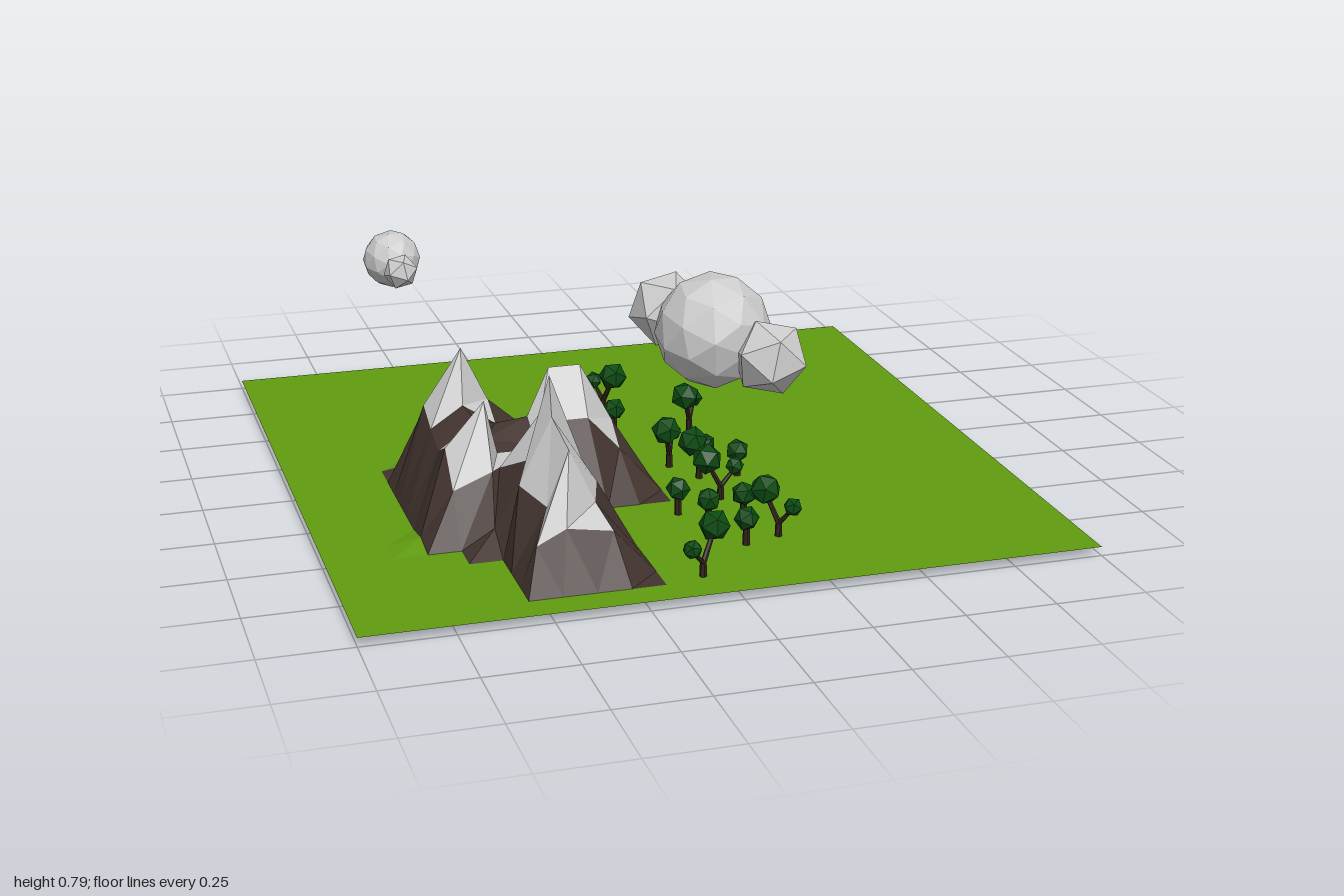
import * as THREE from 'three';

const mat = (color, side = THREE.FrontSide) =>
  new THREE.MeshStandardMaterial({ color, flatShading: true, side });
const GRASS = mat(0x619c10, THREE.DoubleSide);
const ROCK = mat(0x42342f, THREE.DoubleSide);
const WHITE = mat(0xcccccc, THREE.DoubleSide);
const BARK = mat(0x33241c);
const LEAF = mat(0x0c4a12);

const N = 22, GROUND = 0.025;

// mountain heights in hundredths: grid columns 3..11, one line per row 10..21
const HEIGHTS = [
  [3, 4, 4, 3, 3, 3, 3, 3, 3],
  [3, 20, 26, 22, 10, 12, 12, 10, 3],
  [3, 28, 44, 28, 20, 25, 25, 20, 3],
  [3, 24, 30, 24, 25, 37, 37, 20, 3],
  [3, 21, 28, 22, 20, 24, 24, 14, 3],
  [3, 25, 37, 20, 20, 10, 3, 3, 3],
  [4, 16, 20, 20, 34, 17, 3, 3, 3],
  [3, 3, 8, 26, 49, 24, 3, 3, 3],
  [3, 3, 3, 23, 41, 22, 3, 3, 3],
  [3, 3, 3, 20, 35, 20, 3, 3, 3],
  [3, 3, 3, 13, 17, 15, 3, 3, 3],
  [3, 3, 3, 3, 3, 3, 3, 3, 3],
];
// wandering line of the front ridge: [z, left x, crest x, right x] for rows 15..20
const RIDGE = [
  [0.31, -0.48, -0.38, -0.35], [0.42, -0.5, -0.39, -0.33], [0.535, -0.44, -0.39, -0.3],
  [0.635, -0.5, -0.41, -0.29], [0.73, -0.45, -0.39, -0.32], [0.815, -0.5, -0.42, -0.295],
];
// snow-covered cells: [first column, first row, last column, last row]
const SNOW = [[4, 11, 5, 12], [4, 14, 5, 15], [6, 15, 7, 19], [7, 12, 9, 13]];

function heightAt(i, j) {
  const h = HEIGHTS[j - 10]?.[i - 3];
  return h > 3 ? h / 100 : GROUND;
}

function terrainPoint(i, j) {
  let x = -1 + (2 * i) / N, z = -1 + (2 * j) / N;
  if (j >= 15 && j <= 20 && i >= 6 && i <= 8) {
    [z, x] = [RIDGE[j - 15][0], RIDGE[j - 15][i - 5]];
  } else if (j >= 12 && j <= 14 && i >= 8 && i <= 10) {
    z = [0.055, 0.13, 0.215][j - 12];
    x -= 0.015;
  } else if (j >= 14 && j <= 16 && i === 5) {
    x += 0.02;
    z -= 0.01;
  } else if (i === 6 && j === 14) {
    [x, z] = [-0.5, 0.25];
  } else if (i === 5 && j === 12) {
    x += 0.015;
    z += 0.01;
  }
  return [x, heightAt(i, j), z];
}

// ground grid sorted into grass, rock and snow faces
function terrain(group) {
  const faces = { grass: [], rock: [], snow: [] };
  for (let j = 0; j < N; j++) for (let i = 0; i < N; i++) {
    const corners = [[i, j], [i, j + 1], [i + 1, j + 1], [i + 1, j]];
    const top = Math.max(...corners.map(([a, b]) => heightAt(a, b)));
    const snowy = SNOW.some(([a, b, c, d]) => i >= a && i <= c && j >= b && j <= d);
    const kind = snowy ? 'snow' : top > 0.05 ? 'rock' : 'grass';
    const [a, b, c, d] = corners.map(([u, v]) => terrainPoint(u, v));
    faces[kind].push(...a, ...b, ...d, ...b, ...c, ...d);
  }
  const add = (name, list, material) => {
    const geo = new THREE.BufferGeometry();
    geo.setAttribute('position', new THREE.Float32BufferAttribute(list, 3));
    geo.computeVertexNormals();
    const mesh = new THREE.Mesh(geo, material);
    mesh.name = name;
    group.add(mesh);
  };
  add('grassField', faces.grass, GRASS);
  add('mountainRock', faces.rock, ROCK);
  add('mountainSnow', faces.snow, WHITE);
}

function ball(name, material, [x, y, z], r, detail, turn = 0) {
  const mesh = new THREE.Mesh(new THREE.IcosahedronGeometry(r, detail), material);
  mesh.name = name;
  mesh.position.set(x, y, z);
  mesh.rotation.set(turn * 0.7, turn, turn * 0.4);
  return mesh;
}

// tapered limb between two points
function limb(name, from, to, r0, r1) {
  const a = new THREE.Vector3(...from), b = new THREE.Vector3(...to);
  const dir = b.clone().sub(a);
  const mesh = new THREE.Mesh(new THREE.CylinderGeometry(r1, r0, dir.length(), 6), BARK);
  mesh.name = name;
  mesh.position.copy(a).add(b).multiplyScalar(0.5);
  mesh.quaternion.setFromUnitVectors(new THREE.Vector3(0, 1, 0), dir.normalize());
  return mesh;
}

function roundTree(x, z, turn) {
  const g = new THREE.Group();
  g.name = 'smallTree';
  g.add(limb('trunk', [x, 0.005, z], [x, 0.09, z], 0.011, 0.009));
  g.add(ball('crown', LEAF, [x, 0.1, z], 0.035, 0, turn));
  return g;
}

function forkedTree(x, z, x2, z2, turn) {
  const g = new THREE.Group();
  g.name = 'forkedTree';
  const tx = x * 0.5 + x2 * 0.5, tz = z * 0.5 + z2 * 0.5;
  const fork = [tx, 0.062, tz];
  g.add(limb('trunk', [tx, 0, tz], fork, 0.011, 0.009));
  g.add(limb('mainBranch', fork, [x, 0.14, z], 0.008, 0.006));
  g.add(limb('sideBranch', fork, [x2, 0.11, z2], 0.007, 0.005));
  g.add(ball('mainCrown', LEAF, [x, 0.15, z], 0.044, 0, turn));
  g.add(ball('sideCrown', LEAF, [x2, 0.117, z2], 0.027, 0, turn + 1));
  return g;
}

// each puff: x, y, z, radius, detail
function cloud(name, puffs) {
  const g = new THREE.Group();
  g.name = name;
  puffs.forEach(([x, y, z, r, detail], k) =>
    g.add(ball('puff', WHITE, [x, y, z], r, detail, 0.3 + k)));
  return g;
}

export function createModel() {
  const model = new THREE.Group();
  model.name = 'mountainLandscape';
  terrain(model);

  const trees = new THREE.Group();
  trees.name = 'trees';
  // main crown x, z then side crown x, z
  [
    [0.04, -0.36, 0, -0.435], [0.195, -0.125, 0.245, -0.195], [0.055, 0.14, 0.095, 0.07],
    [0.1, 0.245, 0.16, 0.185], [0.095, 0.39, 0.18, 0.38], [0.175, 0.65, 0.23, 0.715],
    [-0.035, 0.85, -0.115, 0.915],
  ].forEach((p, k) => trees.add(forkedTree(...p, k * 0.8)));
  [[0, -0.21], [0.24, 0.225], [-0.01, 0.46], [0.045, 0.56], [0.15, 0.545], [0.1, 0.715]]
    .forEach(([x, z], k) => trees.add(roundTree(x, z, k * 0.9)));
  model.add(trees);

  model.add(cloud('largeCloud', [
    [-0.015, 0.65, 0.76, 0.15, 1], [0.09, 0.61, 0.9, 0.1, 0], [-0.1, 0.675, 0.63, 0.1, 0],
  ]));
  model.add(cloud('smallCloud', [
    [-0.72, 0.72, 0.125, 0.077, 1], [-0.725, 0.725, 0.045, 0.042, 0], [-0.715, 0.71, 0.22, 0.047, 0],
  ]));
  return model;
}
